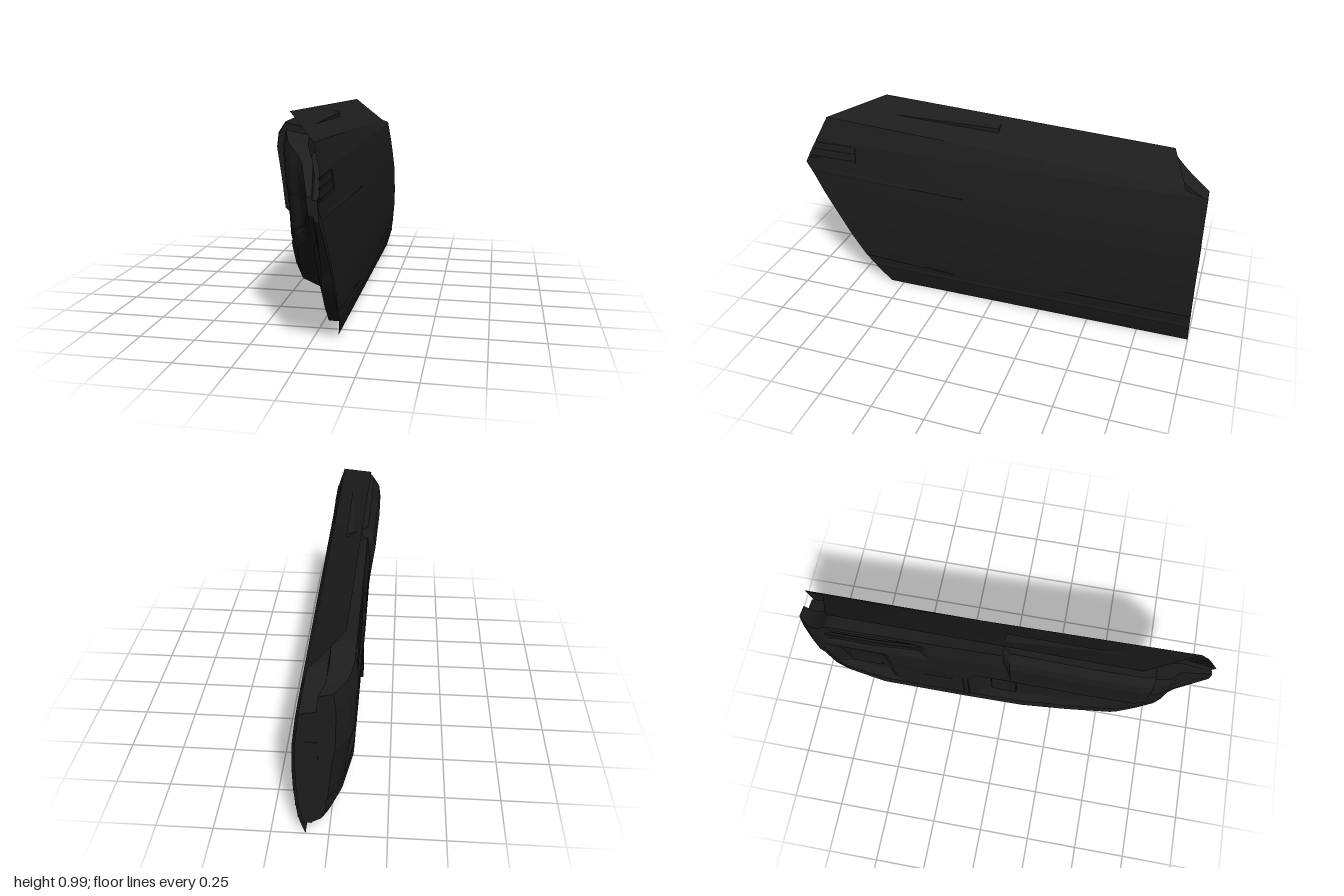
import * as THREE from 'three';

const charcoal = new THREE.MeshStandardMaterial({ color: 0x1d1d1d, side: THREE.DoubleSide });
charcoal.name = 'charcoal';

// Outer skin profile: [y, x, front z]
const PROFILE = [
  [0, 0.100, 0.57], [0.05, 0.116, 0.61], [0.1, 0.129, 0.65], [0.16, 0.137, 0.70],
  [0.26, 0.145, 0.765], [0.36, 0.147, 0.825], [0.5, 0.142, 0.91], [0.58, 0.132, 0.955],
  [0.65, 0.122, 1.0], [0.73, 0.108, 0.96], [0.775, 0.1, 0.935],
];

// Inner shell stations: [z, flange bottom, cabin bottom, top, depth towards the cabin]
const STATIONS = [
  [-0.995, 0.06, 0.06, 0.76, 0.62], [-0.93, 0.05, 0.05, 0.785, 0.9], [-0.87, 0.04, 0.04, 0.83, 1],
  [-0.82, 0.04, 0.04, 0.885, 1.02], [-0.2, 0.04, 0.04, 0.905, 1.03], [0.1, 0.04, 0.05, 0.92, 1.03],
  [0.33, 0.04, 0.12, 0.93, 1.03], [0.57, 0.06, 0.22, 0.94, 1.03], [0.67, 0.16, 0.36, 0.93, 1],
  [0.76, 0.27, 0.43, 0.88, 0.84], [0.81, 0.36, 0.48, 0.82, 0.5], [0.97, 0.60, 0.62, 0.70, 0.2],
];

// Cabin wall: [share of height, x]
const WALL = [
  [0, 0.02], [0.045, -0.055], [0.13, -0.08], [0.19, -0.072], [0.21, -0.084],
  [0.5, -0.095], [0.6, -0.106], [0.86, -0.114], [0.99, -0.1],
];

// Recesses in the cabin wall: [z0, z1, y0, y1, slope width, depth, rise of the front lower corner]
const RECESSES = [
  [-0.88, -0.56, 0.25, 0.66, 0.05, 0.04, 0],
  [-0.84, -0.36, 0.72, 0.85, 0.04, 0.03, 0],
  [-0.14, 0.62, 0.24, 0.58, 0.06, 0.03, 0.28],
];

// Interpolated row of a table sorted by its first column
function at(table, v) {
  let i = 1;
  while (i < table.length - 1 && v > table[i][0]) i++;
  const a = table[i - 1], b = table[i];
  const t = THREE.MathUtils.clamp((v - a[0]) / (b[0] - a[0]), 0, 1);
  return a.map((n, k) => n + (b[k] - n) * t);
}

// The skin draws in towards the front
const bow = (x, z) => x - 0.55 * Math.max(0, x - 0.1) * Math.max(0, z) ** 1.2;
const skinX = (y, z) => bow(at(PROFILE, y)[1], z);

function recess(z, y) {
  let depth = 0;
  for (const [z0, z1, y0, y1, slope, d, rise] of RECESSES) {
    const low = y0 + rise * Math.max(0, (z - 0.1) / 0.5) ** 2;
    const inside = Math.min(z - z0, z1 - z, y - low, y1 - y) / slope;
    depth += d * THREE.MathUtils.clamp(inside, 0, 1);
  }
  return depth;
}

// Surface through rows of points; every row has the same length
function loft(rows, { closed = false, flat = false, caps = false } = {}) {
  const n = rows[0].length, index = [];
  for (let r = 0; r < rows.length - 1; r++) {
    for (let i = 0; i < (closed ? n : n - 1); i++) {
      const a = r * n + i, b = r * n + (i + 1) % n;
      index.push(a, b, b + n, a, b + n, a + n);
    }
  }
  if (caps) {
    for (const r of [0, rows.length - 1]) {
      const outline = rows[r].map(p => new THREE.Vector2(p[0], p[1]));
      for (const [a, b, c] of THREE.ShapeUtils.triangulateShape(outline, [])) {
        if (r === 0) index.push(a, c, b);
        else index.push(r * n + a, r * n + b, r * n + c);
      }
    }
  }
  let g = new THREE.BufferGeometry();
  g.setAttribute('position', new THREE.Float32BufferAttribute(rows.flat(2), 3));
  g.setIndex(index);
  if (flat) g = g.toNonIndexed();
  g.computeVertexNormals();
  return g;
}

// Row of points from the front point to the back point
function row(back, front, steps = 12) {
  const out = [];
  for (let i = 0; i <= steps; i++) out.push(back.map((v, k) => v + (front[k] - v) * (1 - i / steps)));
  return out;
}

export function createModel() {
  const model = new THREE.Group();
  model.name = 'vehicleDoor';
  const add = (name, geometry) => {
    const mesh = new THREE.Mesh(geometry, charcoal);
    mesh.name = name;
    model.add(mesh);
    return mesh;
  };

  // Curved outer skin
  add('outerSkin', loft(PROFILE.map(([y, x, front]) =>
    row([x, y, -1], [x, y, front]).map(([px, py, pz]) => [bow(px, pz), py, pz]))));

  // Shoulder and sloping window ledge
  const shoulderLow = row([0.1, 0.775, -1], [0.1, 0.775, 0.935]);
  const shoulderTop = row([0.08, 0.797, -0.9], [0.065, 0.893, 0.88]);
  const ledgeTop = row([-0.062, 0.925, -0.82], [-0.095, 0.985, 0.62]);
  add('shoulder', loft([shoulderLow, shoulderTop]));
  add('windowLedge', loft([shoulderTop, ledgeTop]));

  // Inner shell with sunken storage, handle cup and lower pocket
  const levels = [0, 0.045, 0.13, 0.19, 0.21];
  for (let i = 1; i <= 26; i++) levels.push(0.21 + 0.03 * i);
  const shell = [];
  for (let i = 0; i <= 70; i++) {
    const z = -0.995 + 1.965 * i / 70;
    const [, yb, yc, yt, d] = at(STATIONS, z);
    const deepen = x => 0.095 + (x - 0.095) * d;
    const rearTuck = 0.05 * THREE.MathUtils.clamp((-0.65 - z) / 0.25, 0, 1);
    const ring = [[deepen(0.06), yb, z]];
    for (const t of levels) {
      const y = yc + (yt - yc) * t;
      const tuck = rearTuck * Math.max(0, 1 - t / 0.6);
      ring.push([deepen(at(WALL, t)[1] + tuck + recess(z, y)), y, z]);
    }
    const h = yt - yb;
    ring.push([deepen(0), yb + h * 0.965, z], [deepen(0.012), yb + h * 0.86, z]);
    for (const t of [0.84, 0.6, 0.35, 0.12, 0]) {
      ring.push([skinX(yb + h * t, z) - 0.01, yb + h * t, z]);
    }
    shell.push(ring.reverse());
  }
  add('innerShell', loft(shell, { closed: true, flat: true, caps: true }));

  // Trim plate on the cabin side, drawn as [z, y] corners, with an optional opening
  const trim = (name, pts, x, depth, hole) => {
    const shape = new THREE.Shape(pts.map(p => new THREE.Vector2(...p)));
    if (hole) shape.holes.push(new THREE.Path(hole.map(p => new THREE.Vector2(...p))));
    const g = new THREE.ExtrudeGeometry(shape, {
      depth, bevelEnabled: true, bevelSize: 0.004, bevelThickness: 0.004, bevelSegments: 1,
    });
    g.rotateY(-Math.PI / 2);
    g.translate(x, 0, 0);
    add(name, g);
  };
  const rect = (z0, z1, y0, y1) => [[z0, y0], [z1, y0], [z1, y1], [z0, y1]];

  // Padded upper panel, tapering to its lower edge
  const pad = [[0.0, -0.1], [0.04, -0.134], [0.4, -0.141], [0.64, -0.138], [0.685, -0.125]].map(([z, x]) => [
    [-0.08, 0.57, z], [x + 0.024, 0.59, z], [x + 0.012, 0.7, z], [x - 0.008, 0.84, z],
    [x, 0.9, z], [x + 0.03, 0.945, z], [-0.005, 0.925, z], [0, 0.6, z],
  ].reverse());
  add('upperPad', loft(pad, { closed: true, flat: true, caps: true }));

  // Pull handle bridging its cup
  trim('pullHandle', [[-0.84, 0.765], [-0.6, 0.76], [-0.36, 0.8], [-0.36, 0.825], [-0.6, 0.79], [-0.84, 0.795]],
    -0.096, 0.01);

  // Lid inside the rear storage recess
  trim('storageLid', rect(-0.8, -0.64, 0.34, 0.57), -0.045, 0.006);

  // Small square switch plate
  trim('switchPlate', rect(-0.4, -0.26, 0.44, 0.58), -0.091, 0.006, rect(-0.37, -0.29, 0.47, 0.55));

  // Upright divider and cover inside the lower pocket
  trim('divider', rect(-0.2, -0.18, 0.25, 0.76), -0.088, 0.012);
  trim('centreCover', rect(-0.06, 0.06, 0.34, 0.53), -0.064, 0.01);

  // Narrow mouldings on the outer skin, following its curve
  const moulding = (name, z0, z1, y0, y1, h0, h1) => {
    const top = [], mid = [], low = [];
    for (let i = 0; i <= 12; i++) {
      const t = i / 12, z = z0 + (z1 - z0) * t, y = y0 + (y1 - y0) * t, h = h0 + (h1 - h0) * t;
      top.push([skinX(y + h, z) + 0.0005, y + h, z]);
      mid.push([skinX(y, z) + 0.003, y, z]);
      low.push([skinX(y - h, z) + 0.0005, y - h, z]);
    }
    add(name, loft([top, mid, low], { flat: true }));
  };
  moulding('upperCrease', 0.955, 0.14, 0.615, 0.588, 0.018, 0.002);
  moulding('frontLowerCrease', 0.68, 0.2, 0.158, 0.14, 0.008, 0.002);
  moulding('rearLowerStrip', -0.34, -0.998, 0.17, 0.168, 0.008, 0.006);
  moulding('sillCrease', 0.64, -0.998, 0.105, 0.1, 0.012, 0.012);

  // Front side vent: slats joined by an upright post
  const vent = new THREE.Group();
  vent.name = 'sideVent';
  const ventBar = (name, y, z, height, length) => {
    const bar = new THREE.Mesh(new THREE.BoxGeometry(0.012, height, length), charcoal);
    bar.name = name;
    bar.position.set(skinX(y, z) - 0.001, y, z);
    bar.rotation.z = 0.15;
    vent.add(bar);
  };
  for (const [y, z0, z1] of [[0.685, 0.72, 0.975], [0.725, 0.72, 0.955], [0.762, 0.74, 0.935]]) {
    ventBar('ventSlat', y, (z0 + z1) / 2, 0.01, z1 - z0);
  }
  ventBar('ventPost', 0.723, 0.722, 0.08, 0.01);
  model.add(vent);

  // Latch plate on the rear end
  add('latchPlate', new THREE.BoxGeometry(0.05, 0.12, 0.008)).position.set(0.065, 0.45, -0.994);

  return model;
}
